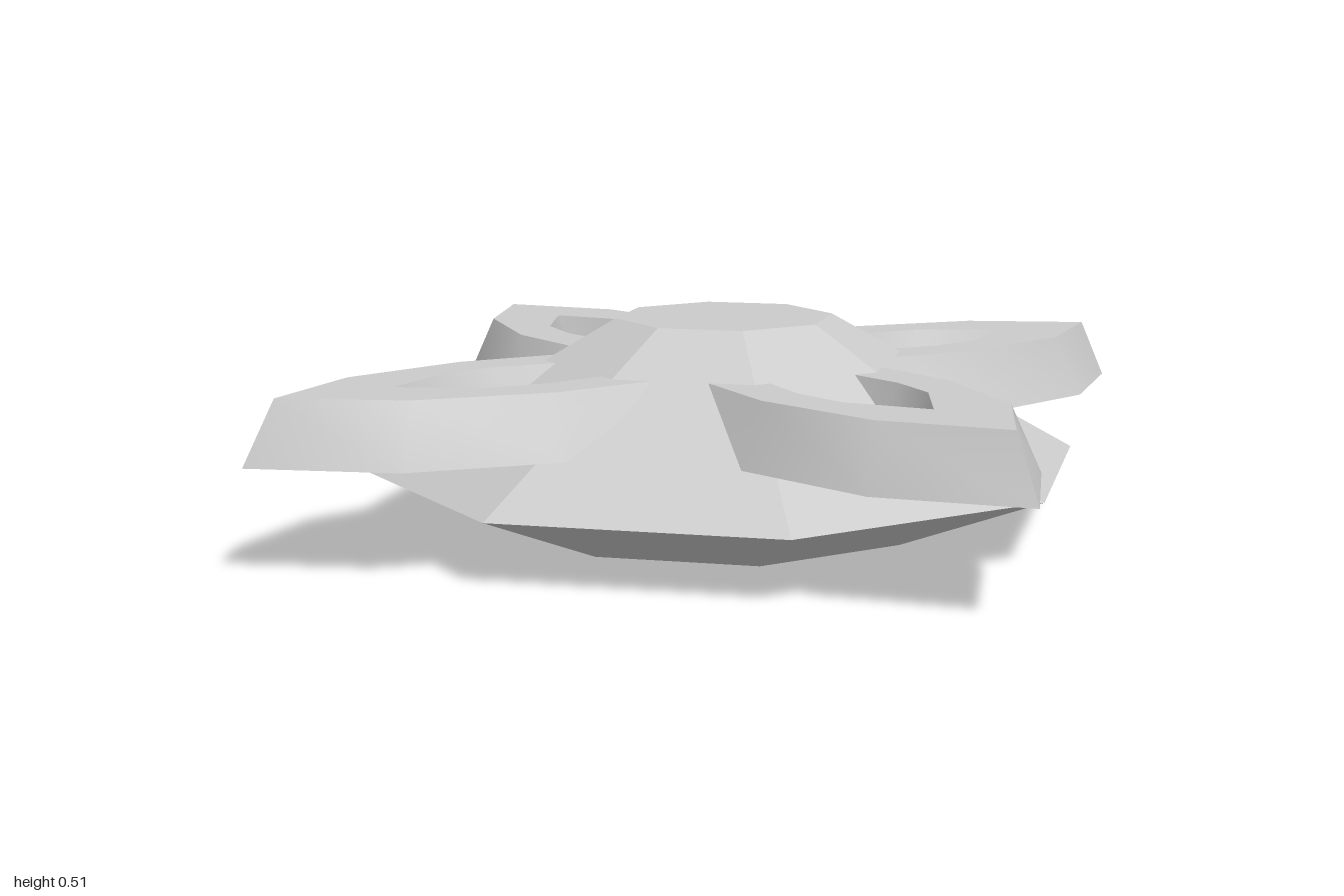
import * as THREE from 'three';
import { toCreasedNormals } from 'three/addons/utils/BufferGeometryUtils.js';

const CENTER_Z = 0.11;
const material = new THREE.MeshStandardMaterial({ color: 0xcccccc });
const faceted = new THREE.MeshStandardMaterial({ color: 0xcccccc, flatShading: true });

// Skin a list of equally long cross-sections; closed joins each section's end to its start.
function skin(rings, closed) {
  const pos = [];
  const n = rings[0].length;
  for (let j = 0; j < rings.length - 1; j++) {
    for (let i = 0; i < (closed ? n : n - 1); i++) {
      const k = (i + 1) % n;
      const a = rings[j][i], b = rings[j + 1][i], c = rings[j + 1][k], d = rings[j][k];
      pos.push(...a, ...b, ...c, ...a, ...c, ...d);
    }
  }
  const geo = new THREE.BufferGeometry();
  geo.setAttribute('position', new THREE.Float32BufferAttribute(pos, 3));
  return toCreasedNormals(geo, 0.8);
}

// Half an outline from root to tip, mirrored across the petal's diagonal.
function petalOutline(half, y) {
  const other = half.slice(0, -1).reverse().map(([a, b]) => [b, a]);
  return [...half, ...other].map(([a, b]) => [a, y, b]);
}

function petalGeometry() {
  const top = 0.41, bottom = 0.26;
  const outerTop = petalOutline([[0.36, 0.03], [0.6, 0.235], [0.775, 0.515], [0.82, 0.82]], top);
  const innerTop = petalOutline([[0.3, 0.15], [0.49, 0.295], [0.577, 0.41], [0.62, 0.62]], top);
  const innerBottom = petalOutline([[0.3, 0.22], [0.43, 0.31], [0.52, 0.42], [0.56, 0.56]], bottom);
  const outerBottom = petalOutline([[0.46, 0], [0.645, 0.2], [0.844, 0.515], [0.876, 0.876]], bottom);
  return skin([outerTop, innerTop, innerBottom, outerBottom, outerTop], false);
}

// Flattened hexagonal section of the tail.
function tailRing(halfWidth, halfHeight, z) {
  return [[1, 0], [0.45, 1], [-0.45, 1], [-1, 0], [-0.45, -1], [0.45, -1]]
    .map(([x, y]) => [0.012 + x * halfWidth, 0.155 + y * halfHeight, z]);
}

export function createModel() {
  const model = new THREE.Group();

  // Eight-sided body: [distance to flat side, height]
  const profile = [[0, 0], [0.475, 0], [0.83, 0.153], [0.25, 0.51], [0, 0.51]]
    .map(([r, y]) => new THREE.Vector2(r / Math.cos(Math.PI / 8), y));
  const body = new THREE.Mesh(new THREE.LatheGeometry(profile, 8, Math.PI / 8), faceted);
  body.name = 'body';
  body.position.set(0.006, 0, CENTER_Z);
  model.add(body);

  // Four hollow corner petals
  const petalGeo = petalGeometry();
  ['frontLeftPetal', 'backLeftPetal', 'backRightPetal', 'frontRightPetal'].forEach((name, i) => {
    const petal = new THREE.Mesh(petalGeo, material);
    petal.name = name;
    petal.position.z = CENTER_Z + 0.01;
    petal.rotation.y = i * Math.PI / 2;
    model.add(petal);
  });

  // Flared tail with a bevelled end
  const tail = new THREE.Mesh(skin([
    tailRing(0.205, 0.045, -0.5),
    tailRing(0.276, 0.09, -0.945),
    tailRing(0.216, 0.07, -1),
    tailRing(0, 0, -1),
  ], true), material);
  tail.name = 'tail';
  model.add(tail);

  return model;
}
